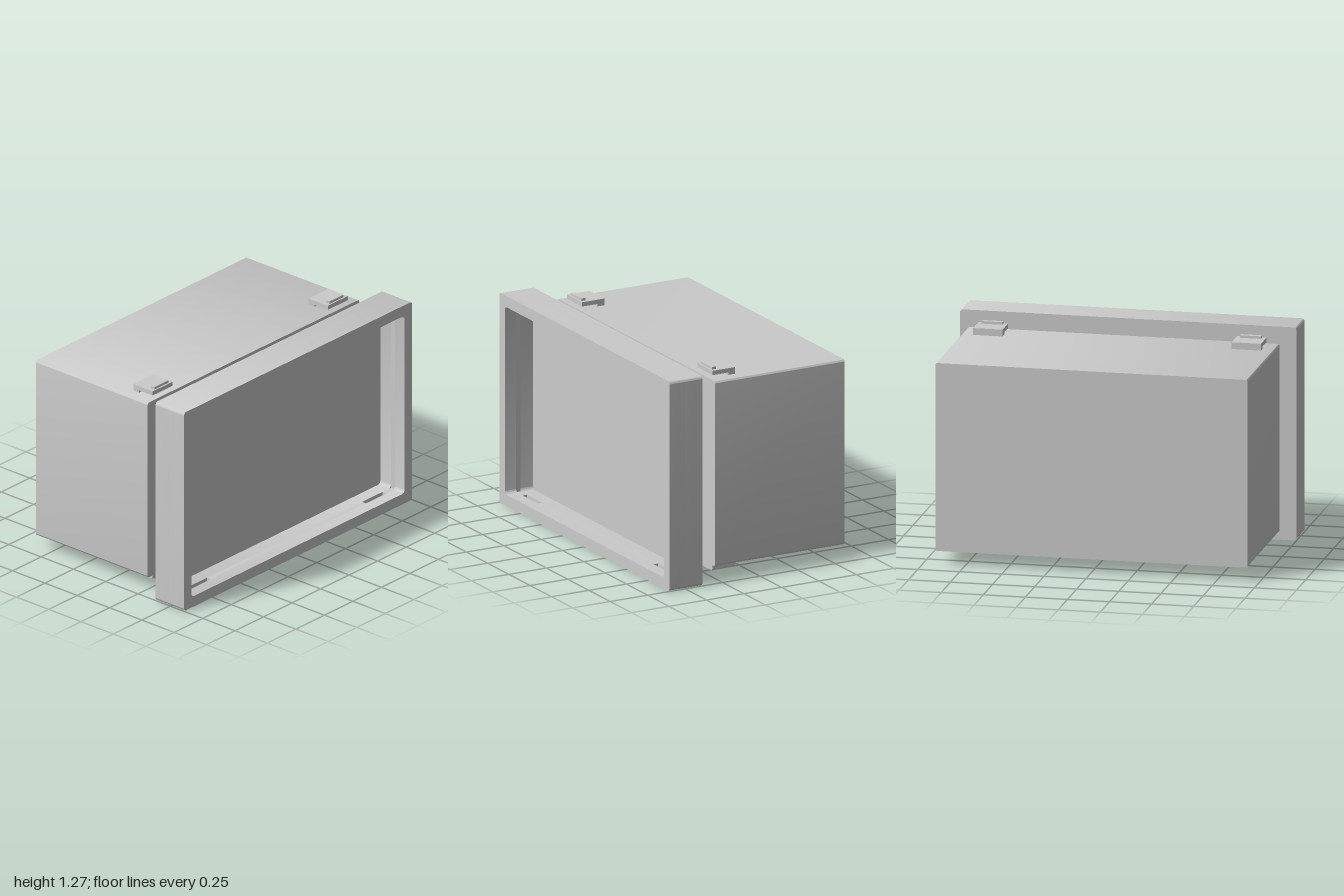
import * as THREE from 'three';
import { toCreasedNormals } from 'three/addons/utils/BufferGeometryUtils.js';

const MID_Y = 0.6425; // height of the shared centre axis
const material = new THREE.MeshStandardMaterial({ color: 0xcccccc });

function roundedRect(path, w, h, r) {
  const x = w / 2, y = h / 2;
  path.moveTo(-x + r, -y);
  path.lineTo(x - r, -y);
  path.absarc(x - r, -y + r, r, -Math.PI / 2, 0);
  path.lineTo(x, y - r);
  path.absarc(x - r, y - r, r, 0, Math.PI / 2);
  path.lineTo(-x + r, y);
  path.absarc(-x + r, y - r, r, Math.PI / 2, Math.PI);
  path.lineTo(-x, -y + r);
  path.absarc(-x + r, -y + r, r, Math.PI, Math.PI * 1.5);
  return path;
}

// Inner opening widened by catch recesses in the top and bottom walls
function notchedOpening() {
  const x = 0.935, y = 0.57, d = 0.03, a = 0.68, b = 0.86;
  const top = [[x, y], [b, y], [b, y + d], [a, y + d], [a, y],
    [-a, y], [-a, y + d], [-b, y + d], [-b, y], [-x, y]];
  const bottom = top.map(([px, py]) => [-px, -py]);
  return new THREE.Path([...top, ...bottom].map(p => new THREE.Vector2(...p)));
}

// Extrudes a shape between two z positions
function slab(name, shape, z0, z1) {
  const geo = new THREE.ExtrudeGeometry(shape, { depth: z1 - z0, bevelEnabled: false, curveSegments: 8 });
  const mesh = new THREE.Mesh(toCreasedNormals(geo, 0.6), material);
  mesh.name = name;
  mesh.position.set(0, 0, z0);
  return mesh;
}

function coverShape(hole) {
  const shape = roundedRect(new THREE.Shape(), 2, 1.275, 0.02);
  if (hole) shape.holes.push(hole);
  return shape;
}

// Hooked clip: foot and arm in one side profile, with a narrower catch on top
function createClip(x) {
  const clip = new THREE.Group();
  clip.name = 'clip';
  const profile = new THREE.Shape([[0.085, 0.56], [0.13, 0.56], [0.13, 0.577], [0.235, 0.577],
    [0.235, 0.603], [0.085, 0.603]].map(p => new THREE.Vector2(...p)));
  const geo = new THREE.ExtrudeGeometry(profile, { depth: 0.175, bevelEnabled: false });
  geo.rotateY(-Math.PI / 2); // profile x becomes z, extrusion runs to -x
  geo.translate(0.0875, 0, 0);
  const arm = new THREE.Mesh(geo, material);
  arm.name = 'clipArm';
  const catchBar = new THREE.Mesh(new THREE.BoxGeometry(0.125, 0.016, 0.027), material);
  catchBar.name = 'clipCatch';
  catchBar.position.set(0, 0.61, 0.212);
  clip.add(arm, catchBar);
  clip.position.x = x;
  return clip;
}

export function createModel() {
  const model = new THREE.Group();
  model.name = 'enclosure';
  model.position.y = 0;

  // Main housing
  const body = slab('housing', roundedRect(new THREE.Shape(), 1.855, 1.125, 0.015), -0.605, 0.26);
  body.position.y = MID_Y;
  model.add(body);

  // Front cover: back panel, plain walls and the layer with catch recesses
  const opening = () => roundedRect(new THREE.Path(), 1.87, 1.14, 0.025);
  const cover = new THREE.Group();
  cover.name = 'frontCover';
  cover.position.y = 0.6385;
  cover.add(
    slab('coverPanel', coverShape(), 0.385, 0.418),
    slab('coverWallRear', coverShape(opening()), 0.418, 0.5),
    slab('coverWallRecessed', coverShape(notchedOpening()), 0.5, 0.53),
    slab('coverWallFront', coverShape(opening()), 0.53, 0.605),
  );
  model.add(cover);

  // Clips above, and the same pair turned over below
  for (const side of ['top', 'bottom']) {
    const pair = new THREE.Group();
    pair.name = side + 'Clips';
    pair.position.y = MID_Y;
    if (side === 'bottom') pair.rotation.z = Math.PI;
    for (const sx of [-1, 1]) pair.add(createClip(sx * 0.7675));
    model.add(pair);
  }
  return model;
}
